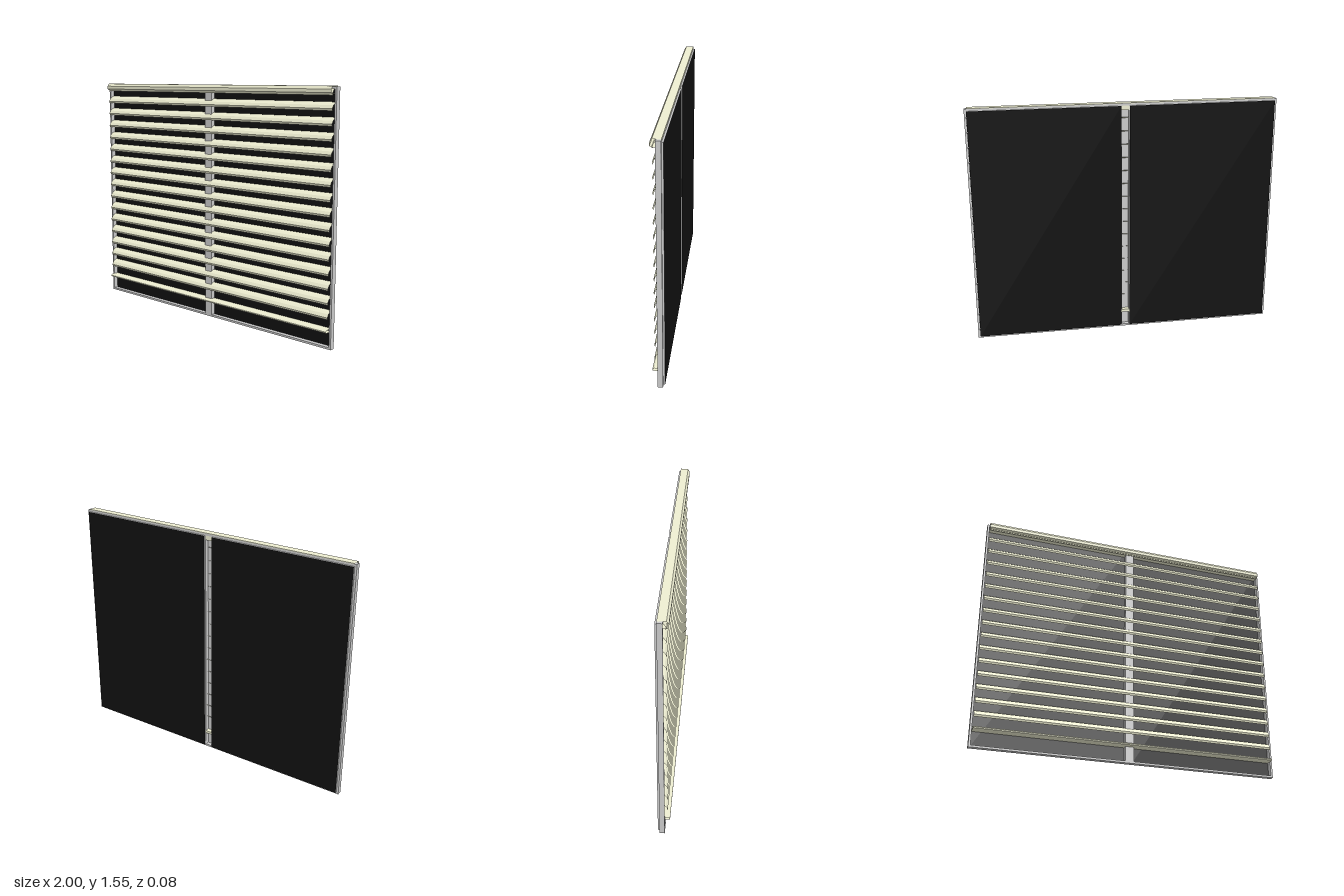
import * as THREE from 'three';

const grey = new THREE.MeshStandardMaterial({ color: 0xcccccc });
const black = new THREE.MeshStandardMaterial({ color: 0x111111 });
const cream = new THREE.MeshStandardMaterial({ color: 0xeeeed2, side: THREE.DoubleSide, flatShading: true });

const W = 2, H = 1.546, HALF_BLIND = 0.985;
const FRONT = 0.005, BACK = -0.027, PANE_BACK = -0.038;

function box(name, material, x0, x1, y0, y1, z0, z1) {
  const mesh = new THREE.Mesh(new THREE.BoxGeometry(x1 - x0, y1 - y0, z1 - z0), material);
  mesh.position.set((x0 + x1) / 2, (y0 + y1) / 2, (z0 + z1) / 2);
  mesh.name = name;
  return mesh;
}

// Open sheet: a [z, y] profile swept across the width of the blind
function sheet(points) {
  const pos = [], index = [];
  points.forEach(([z, y], i) => {
    pos.push(-HALF_BLIND, y, z, HALF_BLIND, y, z);
    if (i) {
      const a = 2 * i - 2;
      index.push(a, a + 2, a + 1, a + 1, a + 2, a + 3);
    }
  });
  const geo = new THREE.BufferGeometry();
  geo.setAttribute('position', new THREE.Float32BufferAttribute(pos, 3));
  geo.setIndex(index);
  geo.computeVertexNormals();
  return geo;
}

function strip(name, geometry, y) {
  const mesh = new THREE.Mesh(geometry, cream);
  mesh.position.y = y;
  mesh.name = name;
  return mesh;
}

export function createModel() {
  const model = new THREE.Group();
  model.name = 'windowWithBlind';

  // Outer frame: four narrow bars
  const frame = new THREE.Group();
  frame.name = 'frame';
  const t = 0.013;
  for (const s of [-1, 1]) {
    const x = s * (W / 2 - t / 2);
    frame.add(box('sideBar', grey, x - t / 2, x + t / 2, 0, H, BACK, FRONT));
  }
  frame.add(box('sill', grey, -W / 2 + t, W / 2 - t, 0, t, BACK, FRONT));
  frame.add(box('topBar', grey, -W / 2 + t, W / 2 - t, H - t, H, BACK, FRONT));
  model.add(frame);

  // Central mullion: a channel open at the back
  const mullion = new THREE.Group();
  mullion.name = 'mullion';
  mullion.add(box('mullionFace', grey, -0.028, 0.028, t, H - t, FRONT - 0.004, FRONT));
  for (const s of [-1, 1]) {
    mullion.add(box('mullionWall', grey, s * 0.026 - 0.002, s * 0.026 + 0.002, t, H - t, BACK, FRONT - 0.004));
  }
  model.add(mullion);

  // Two dark panes with grey edges
  const edges = [grey, grey, grey, grey, black, black];
  for (const s of [-1, 1]) {
    const x = s * 0.507, h = 0.479;
    model.add(box(s > 0 ? 'leftPane' : 'rightPane', edges, x - h, x + h, t, H - t, PANE_BACK, BACK + 0.002));
  }

  // Blind: head rail, tilted slats and bottom rail
  const blind = new THREE.Group();
  blind.name = 'blind';
  const headRail = sheet([
    [-0.027, -0.045], [-0.027, 0], [0.024, 0], [0.036, -0.018],
    [0.036, -0.038], [0.026, -0.045], [-0.027, -0.045],
  ]);
  blind.add(strip('headRail', headRail, 1.55));

  const slat = sheet([
    [-0.018, 0.05], [-0.004, 0.044], [0.012, 0.032], [0.024, 0.013], [0.019, 0],
  ]);
  for (let i = 0; i < 16; i++) blind.add(strip('slat', slat, 0.186 + i * 0.0874));

  const bottomRail = sheet([
    [-0.03, 0], [-0.03, 0.018], [0.026, 0.018], [0.037, 0.01], [0.037, 0.003], [0.03, 0], [-0.03, 0],
  ]);
  blind.add(strip('bottomRail', bottomRail, 0.106));
  model.add(blind);

  return model;
}
